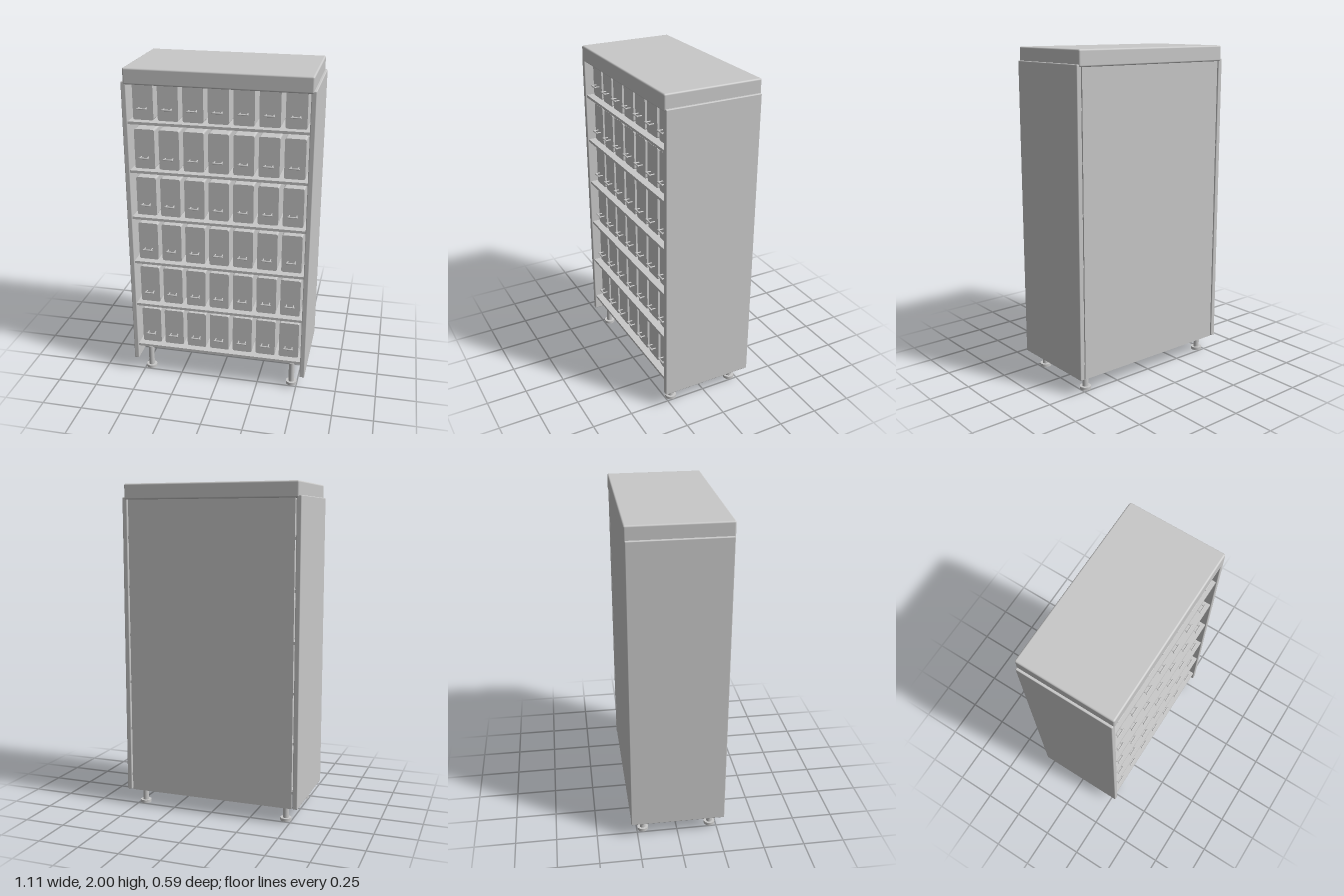
import * as THREE from 'three';
import { RoundedBoxGeometry } from 'three/addons/geometries/RoundedBoxGeometry.js';

export function createModel() {
  const cabinet = new THREE.Group();
  cabinet.name = 'drawerCabinet';
  const grey = new THREE.MeshStandardMaterial({ color: 0xc8c8c8 });
  grey.name = 'light grey';

  function add(parent, name, geometry, x, y, z) {
    const mesh = new THREE.Mesh(geometry, grey);
    mesh.name = name;
    mesh.position.set(x, y, z);
    parent.add(mesh);
    return mesh;
  }

  // Carcass: side panels, back panel and top cap
  const sideGeo = new RoundedBoxGeometry(0.03, 1.82, 0.58, 2, 0.005);
  add(cabinet, 'leftPanel', sideGeo, 0.54, 1.01, 0);
  add(cabinet, 'rightPanel', sideGeo, -0.54, 1.01, 0);
  add(cabinet, 'backPanel', new THREE.BoxGeometry(1.036, 1.81, 0.012), 0, 1.005, -0.281);
  add(cabinet, 'topCap', new RoundedBoxGeometry(1.082, 0.095, 0.59, 3, 0.01), 0, 1.9525, 0);

  // Shared drawer shapes
  const rows = 6, columns = 7, pitchX = 0.148, pitchY = 0.2965;
  const w = 0.122, h = 0.24, depth = 0.48, r = 0.012;
  const face = new THREE.Shape();
  face.moveTo(-w / 2 + r, 0);
  face.lineTo(w / 2 - r, 0);
  face.quadraticCurveTo(w / 2, 0, w / 2, r);
  face.lineTo(w / 2, h - r);
  face.quadraticCurveTo(w / 2, h, w / 2 - r, h);
  face.lineTo(-w / 2 + r, h);
  face.quadraticCurveTo(-w / 2, h, -w / 2, h - r);
  face.lineTo(-w / 2, r);
  face.quadraticCurveTo(-w / 2, 0, -w / 2 + r, 0);
  const drawerGeo = new THREE.ExtrudeGeometry(face, { depth, bevelEnabled: false, curveSegments: 4 });
  const shelfGeo = new THREE.BoxGeometry(1.054, 0.016, 0.565);
  const barGeo = new THREE.CapsuleGeometry(0.005, 0.054, 3, 8).rotateZ(Math.PI / 2);
  const postGeo = new THREE.CylinderGeometry(0.004, 0.004, 0.03, 8).rotateX(Math.PI / 2);

  // Shelves, each carrying a row of drawers with bar handles
  for (let row = 0; row < rows; row++) {
    const shelfY = 0.198 + row * pitchY;
    add(cabinet, 'shelf', shelfGeo, 0, shelfY, 0);
    for (let col = 0; col < columns; col++) {
      const drawer = new THREE.Group();
      drawer.name = 'drawer';
      drawer.position.set((col - 3) * pitchX, shelfY + 0.01, 0.24);
      add(drawer, 'drawerBox', drawerGeo, 0, 0, -depth);
      add(drawer, 'handleBar', barGeo, 0, 0.072, 0.03);
      for (const s of [-1, 1]) add(drawer, 'handlePost', postGeo, s * 0.022, 0.072, 0.015);
      cabinet.add(drawer);
    }
  }

  // Four levelling feet
  const legGeo = new THREE.CylinderGeometry(0.018, 0.018, 0.14, 24);
  const footGeo = new THREE.CylinderGeometry(0.034, 0.034, 0.018, 24);
  for (const x of [-0.465, 0.465]) {
    for (const z of [-0.212, 0.212]) {
      const leg = new THREE.Group();
      leg.name = z > 0 ? 'frontLeg' : 'backLeg';
      leg.position.set(x, 0, z);
      add(leg, 'legPost', legGeo, 0, 0.08, 0);
      add(leg, 'footPad', footGeo, 0, 0.009, 0);
      cabinet.add(leg);
    }
  }
  return cabinet;
}
